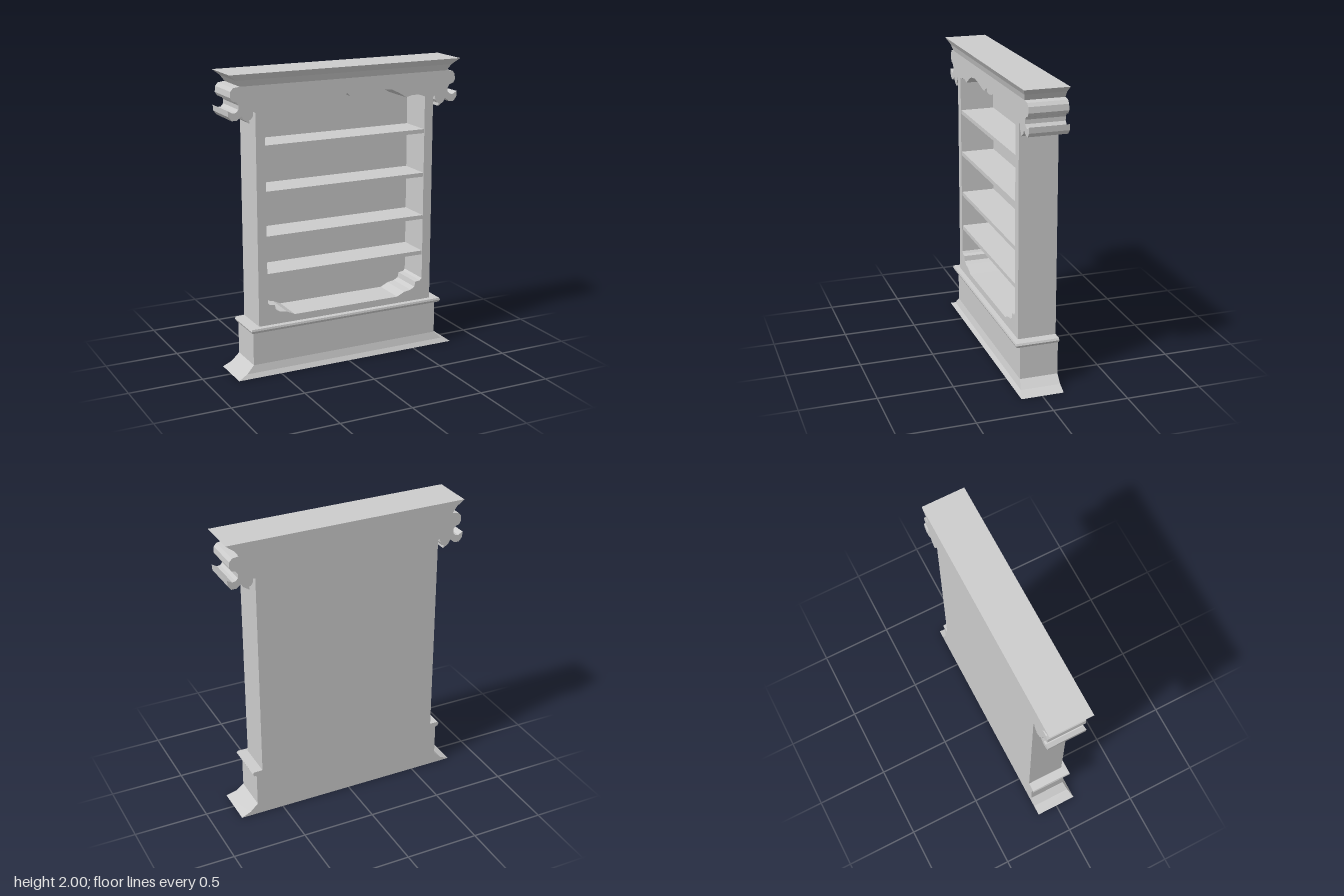
import * as THREE from 'three';

const BACK = -0.145, FRONT = 0.11;
const grey = new THREE.MeshStandardMaterial({ color: 0xcccccc, flatShading: true, side: THREE.DoubleSide });

// Full symmetric loop from its right half, listed top to bottom
function mirrored(half) {
  const left = half.filter(p => p[0] > 0).reverse().map(([x, y]) => [-x, y]);
  return [...half, ...left].map(([x, y]) => new THREE.Vector2(x, y));
}

function slab(shape, z0, z1) {
  const g = new THREE.ExtrudeGeometry(shape, { depth: z1 - z0, bevelEnabled: false });
  return g.translate(0, 0, z0);
}

// Moulding that wraps front and sides: levels of [y, half width, front z], flat at the back
function moulding(levels, capTop) {
  const pos = [];
  const rings = levels.map(([y, w, z]) => [[-w, y, BACK], [-w, y, z], [w, y, z], [w, y, BACK]]);
  const quad = (a, b, c, d) => pos.push(...a, ...b, ...c, ...a, ...c, ...d);
  for (let k = 0; k < rings.length - 1; k++) {
    for (let i = 0; i < 4; i++) {
      const j = (i + 1) % 4;
      quad(rings[k][i], rings[k][j], rings[k + 1][j], rings[k + 1][i]);
    }
  }
  if (capTop) quad(...rings[rings.length - 1]);
  const g = new THREE.BufferGeometry();
  g.setAttribute('position', new THREE.Float32BufferAttribute(pos, 3));
  g.computeVertexNormals();
  return g;
}

export function createModel() {
  const group = new THREE.Group();
  const add = (name, geometry) => {
    const m = new THREE.Mesh(geometry, grey);
    m.name = name;
    group.add(m);
    return m;
  };

  // Cabinet silhouette with scrolled brackets at the top corners
  const outline = mirrored([
    [0.745, 1.92], [0.785, 1.914], [0.803, 1.893], [0.807, 1.855], [0.793, 1.833],
    [0.765, 1.824], [0.752, 1.805], [0.752, 1.778], [0.768, 1.76], [0.79, 1.757],
    [0.823, 1.775], [0.82, 1.737], [0.798, 1.71], [0.765, 1.71], [0.732, 1.735],
    [0.718, 1.71], [0.68, 1.685], [0.682, 1.705], [0.67, 1.71], [0.657, 1.73],
    [0.655, 1.757], [0.64, 1.75], [0.64, 0.34],
  ]);

  // Opening with a wavy head and stepped lower corners
  const opening = mirrored([
    [0, 1.825], [0.02, 1.803], [0.055, 1.796], [0.1, 1.802], [0.18, 1.823], [0.25, 1.831],
    [0.33, 1.82], [0.385, 1.793], [0.435, 1.762], [0.48, 1.774], [0.53, 1.773], [0.577, 1.757],
    [0.577, 0.492], [0.563, 0.477], [0.527, 0.472], [0.52, 0.437], [0.49, 0.42],
    [0.44, 0.412], [0.385, 0.386],
  ]);

  const carcass = new THREE.Shape(outline);
  carcass.holes.push(new THREE.Path(opening));
  add('carcass', slab(carcass, -0.125, FRONT));
  add('backPanel', slab(new THREE.Shape(outline), BACK, -0.125));

  // Shelves
  for (const y of [0.675, 0.927, 1.223, 1.522]) {
    add('shelf', new THREE.BoxGeometry(1.154, 0.027, 0.23)).position.set(0, y, -0.01);
  }

  // Plinth with flared foot, open underneath, and its rounded ledge
  add('plinth', moulding([
    [0, 0.8, 0.14], [0.03, 0.735, 0.122], [0.08, 0.683, FRONT], [0.305, 0.683, FRONT],
  ]));
  add('ledge', moulding([
    [0.305, 0.683, FRONT], [0.309, 0.7, 0.138], [0.325, 0.708, 0.145],
    [0.338, 0.702, 0.142], [0.34, 0.635, 0.105],
  ]));

  // Crown cornice
  add('cornice', moulding([
    [1.92, 0.74, FRONT], [1.96, 0.77, 0.122], [2, 0.823, 0.145],
  ], true));

  return group;
}
